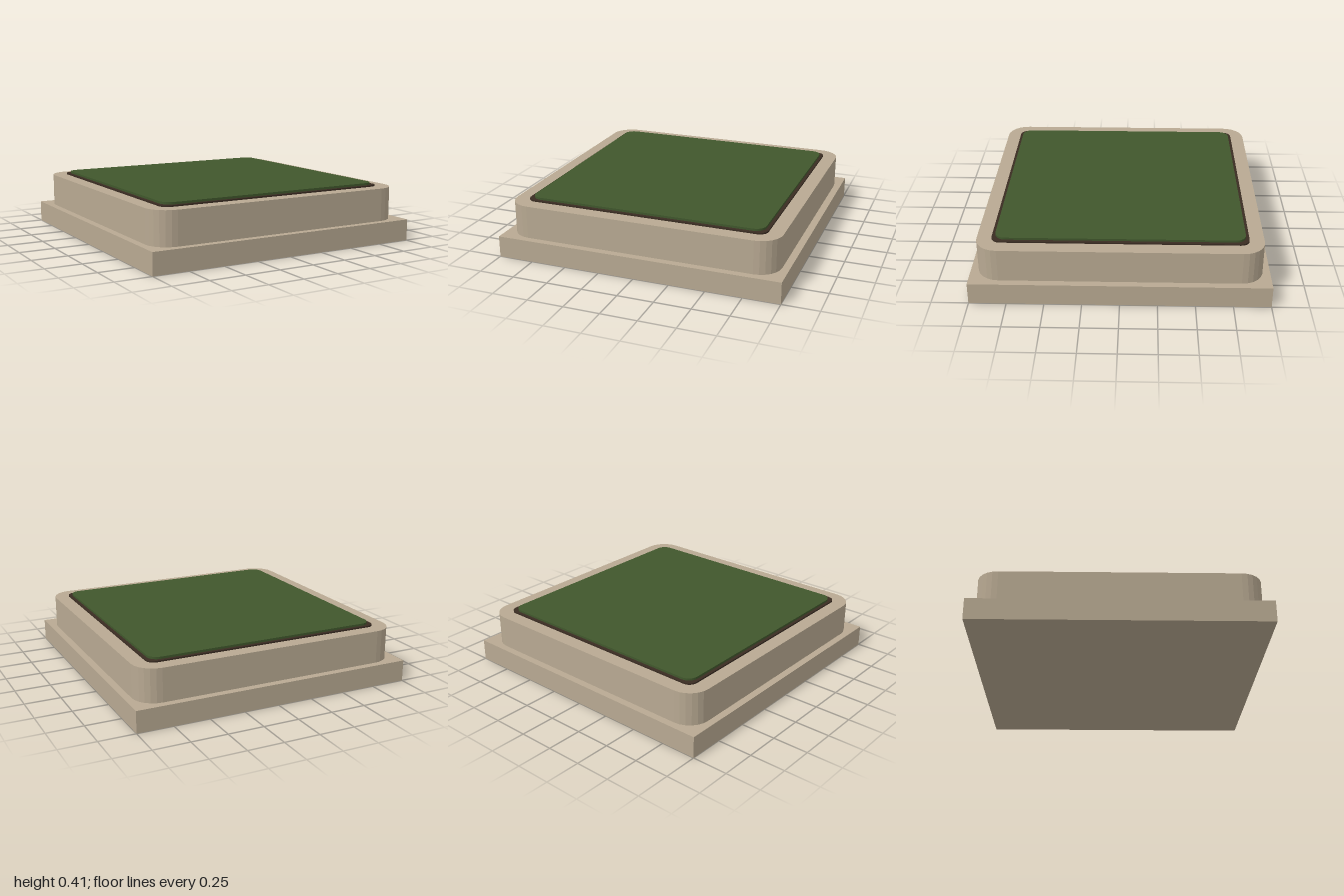
import * as THREE from 'three';

const mat = (name, color) => {
  const m = new THREE.MeshStandardMaterial({ color });
  m.name = name;
  return m;
};

// Square slab with rounded corners, spanning bottom..top in y
function roundedSlab(name, half, radius, bottom, top, material, segments) {
  const s = new THREE.Shape();
  const c = half - radius;
  s.moveTo(c, -half);
  s.absarc(c, -c, radius, -Math.PI / 2, 0, false);
  s.absarc(c, c, radius, 0, Math.PI / 2, false);
  s.absarc(-c, c, radius, Math.PI / 2, Math.PI, false);
  s.absarc(-c, -c, radius, Math.PI, Math.PI * 1.5, false);
  const g = new THREE.ExtrudeGeometry(s, {
    depth: top - bottom, bevelEnabled: false, curveSegments: segments,
  });
  g.rotateX(-Math.PI / 2);
  g.translate(0, bottom, 0);
  const mesh = new THREE.Mesh(g, material);
  mesh.name = name;
  return mesh;
}

export function createModel() {
  const group = new THREE.Group();
  group.name = 'planterTile';
  const stone = mat('stone', 0xb8a992);
  const soil = mat('soil', 0x3a2c22);
  const grass = mat('grass', 0x40572c);

  // Square plinth
  const base = new THREE.Mesh(new THREE.BoxGeometry(2, 0.15, 2), stone);
  base.name = 'base';
  base.position.y = 0.075;
  group.add(base);

  // Rounded block, dark border and green top
  group.add(
    roundedSlab('curb', 0.95, 0.15, 0.15, 0.38, stone, 3),
    roundedSlab('soilBorder', 0.85, 0.06, 0.38, 0.39, soil, 3),
    roundedSlab('grassTop', 0.828, 0.07, 0.39, 0.405, grass, 4),
  );
  return group;
}
